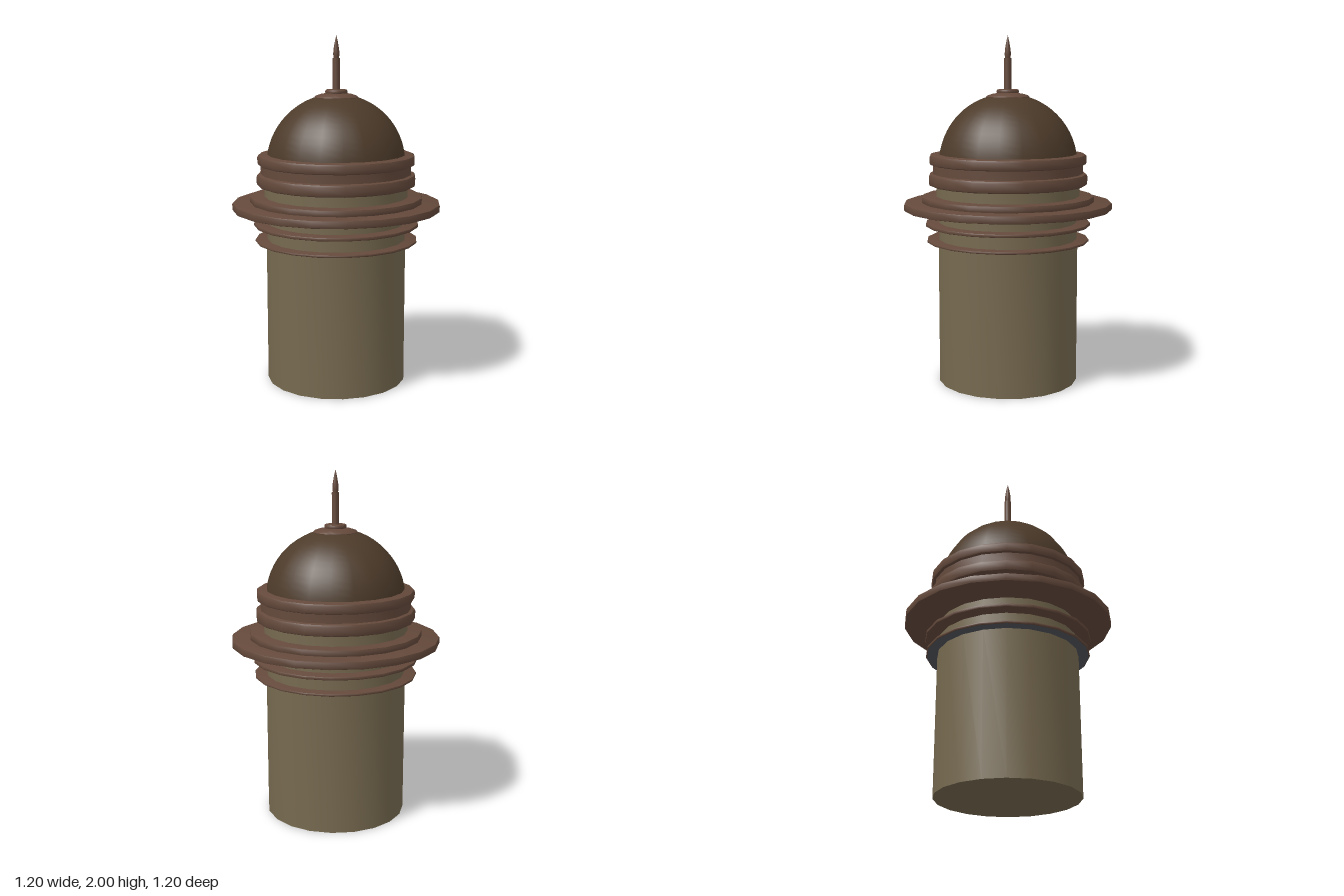
import * as THREE from 'three';
import { toCreasedNormals } from 'three/addons/utils/BufferGeometryUtils.js';

const material = (color) => new THREE.MeshStandardMaterial({ color });

export function createModel() {
  const model = new THREE.Group();
  const stone = material(0x76694f);
  const trim = material(0x64493b);
  const roof = material(0x4d3b2a);
  const lead = material(0x50545c);

  function add(name, geometry, mat) {
    const mesh = new THREE.Mesh(geometry, mat);
    mesh.name = name;
    model.add(mesh);
    return mesh;
  }

  // Turned part from [radius, height] pairs, listed bottom to top
  function turned(name, profile, mat, sides = 20) {
    const points = profile.map(([r, y]) => new THREE.Vector2(r, y));
    return add(name, toCreasedNormals(new THREE.LatheGeometry(points, sides), 0.6), mat);
  }

  // Solid moulding with bevelled outer edges
  function moulding(name, r, y0, y1, bevel, mat = trim, sides = 20) {
    const b = bevel;
    turned(name, [
      [0, y0], [r - b, y0], [r - b * 0.3, y0 + b * 0.3], [r, y0 + b],
      [r, y1 - b], [r - b * 0.3, y1 - b * 0.3], [r - b, y1], [0, y1],
    ], mat, sides);
  }

  // Tower shaft and the narrower drum above it
  turned('shaft', [[0, 0], [0.405, 0], [0.405, 0.83], [0, 0.83]], stone);
  turned('drum', [[0, 0.82], [0.4, 0.82], [0.4, 1.02], [0, 1.02]], stone);
  turned('upperDrum', [[0, 1.07], [0.415, 1.07], [0.415, 1.17], [0, 1.17]], stone);

  // Thin string courses under the balcony
  moulding('lowerCourse', 0.47, 0.823, 0.838, 0.006);
  turned('lowerCourseUnderside', [[0.4, 0.822], [0.464, 0.822]], lead);
  moulding('upperCourse', 0.478, 0.915, 0.936, 0.008);

  // Balcony slab and step
  moulding('balcony', 0.6, 1.008, 1.052, 0.007);
  moulding('balconyStep', 0.497, 1.05, 1.088, 0.007);

  // Cornice: two rounded bands with a recess between them
  moulding('lowerCornice', 0.458, 1.148, 1.218, 0.016);
  turned('corniceRecess', [[0, 1.21], [0.434, 1.21], [0.434, 1.28], [0, 1.28]], trim);
  moulding('upperCornice', 0.453, 1.268, 1.328, 0.014);

  // Dome
  const dome = new THREE.SphereGeometry(0.4, 20, 16, 0, Math.PI * 2, 0, Math.PI / 2);
  add('dome', dome, roof).position.y = 1.27;

  // Cap on the crown of the dome
  turned('crownCap', [
    [0.122, 1.642], [0.125, 1.652], [0.118, 1.66], [0.09, 1.669], [0.05, 1.676], [0, 1.678],
  ], trim, 32);
  moulding('finialBase', 0.063, 1.67, 1.695, 0.008, trim, 24);

  // Finial rod and pointed tip
  turned('finialRod', [[0.021, 1.69], [0.021, 1.872], [0, 1.872]], trim, 16);
  turned('finialTip', [[0.014, 1.87], [0.018, 1.89], [0.016, 1.92], [0.009, 1.96], [0, 2]], trim, 16);

  return model;
}
